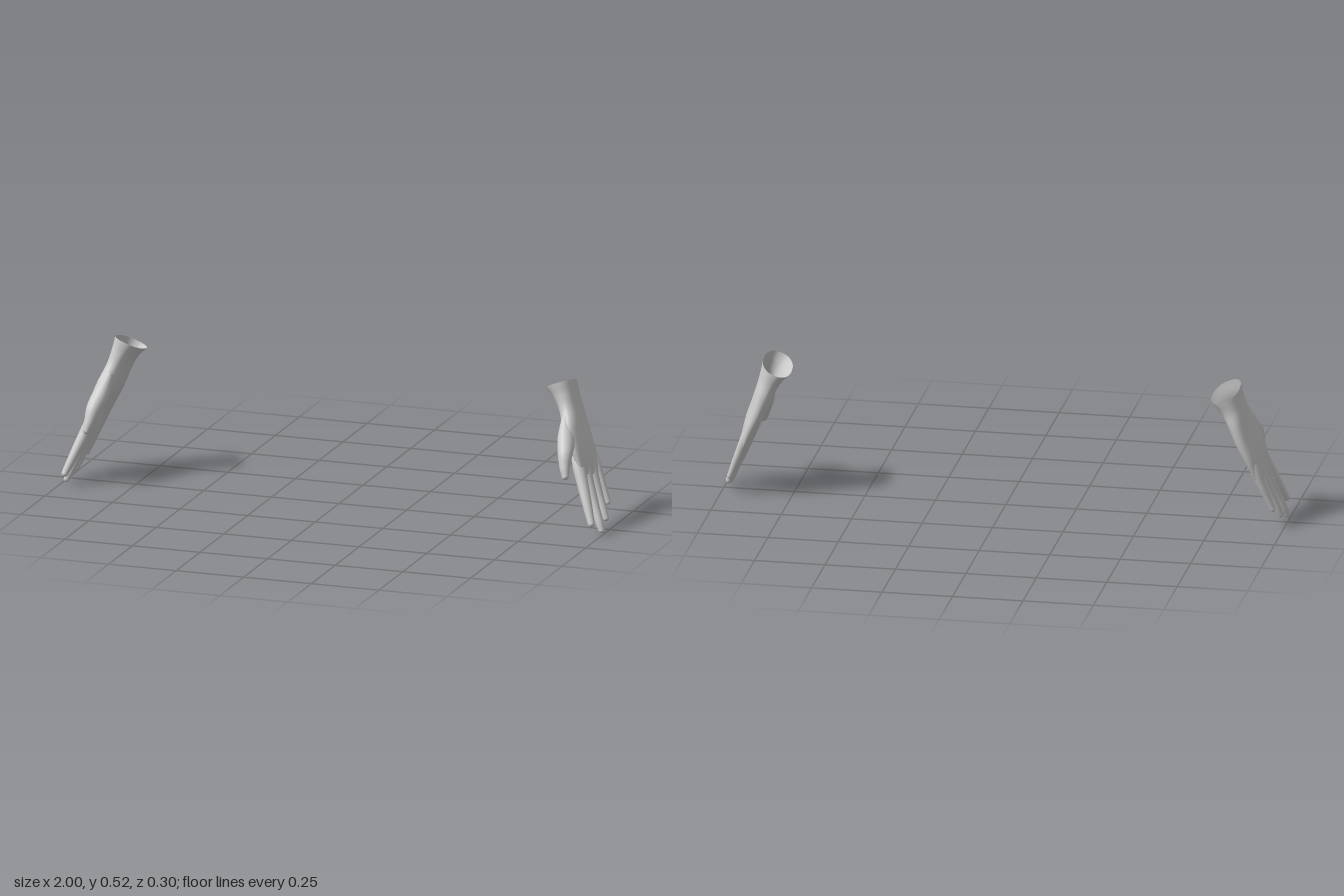
import * as THREE from 'three';
import { mergeVertices } from 'three/addons/utils/BufferGeometryUtils.js';

const material = new THREE.MeshStandardMaterial({ color: 0xcccccc, side: THREE.DoubleSide });

// Direction through the hand, from palm to back
const THICK = new THREE.Vector3(0.93, 0.37, 0).normalize();
// Across the palm, from little finger side to thumb side
const ACROSS = new THREE.Vector3(0, 0.22, 0.97).normalize();

// Smooth skin through stations [x, y, z, halfWidth, halfThickness], open at the
// start and rounded at the end. power < 1 makes the section boxier.
function loft(name, side, stations, { steps = 40, sides = 28, across = null, power = 1 } = {}) {
  const path = new THREE.CatmullRomCurve3(
    stations.map(s => new THREE.Vector3(s[0], s[1], s[2])), false, 'catmullrom', 0.5);
  const size = new THREE.CatmullRomCurve3(
    stations.map(s => new THREE.Vector3(s[3], s[4], 0)), false, 'catmullrom', 0.5);
  const positions = [], index = [];
  const bulge = v => Math.sign(v) * Math.abs(v) ** power;

  const addRing = (centre, tangent, hw, ht) => {
    const w = across || new THREE.Vector3().crossVectors(tangent, THICK).normalize();
    for (let j = 0; j < sides; j++) {
      const a = (j / sides) * Math.PI * 2;
      const p = centre.clone()
        .addScaledVector(w, hw * bulge(Math.cos(a)))
        .addScaledVector(THICK, ht * bulge(Math.sin(a)));
      positions.push(side * p.x, p.y, p.z);
    }
  };

  for (let i = 0; i <= steps; i++) {
    const t = i / steps, s = size.getPoint(t);
    addRing(path.getPoint(t), path.getTangent(t), s.x, s.y);
  }
  // Rounded end
  const end = path.getPoint(1), dir = path.getTangent(1), last = size.getPoint(1);
  const capSteps = 7;
  for (let k = 1; k <= capSteps; k++) {
    const a = (k / capSteps) * Math.PI / 2;
    const shrink = k === capSteps ? 0 : Math.cos(a);
    const inset = across ? last.x - last.y * (1 - shrink) * 1.2 : last.x * shrink;
    addRing(end.clone().addScaledVector(dir, last.y * Math.sin(a)), dir, inset, last.y * shrink);
  }

  const rings = steps + capSteps;
  for (let i = 0; i < rings; i++) {
    for (let j = 0; j < sides; j++) {
      const k = (j + 1) % sides;
      const a = i * sides + j, b = i * sides + k, c = a + sides, d = b + sides;
      if (side > 0) index.push(a, c, b, b, c, d);
      else index.push(a, b, c, b, d, c);
    }
  }
  let geometry = new THREE.BufferGeometry();
  geometry.setAttribute('position', new THREE.Float32BufferAttribute(positions, 3));
  geometry.setIndex(index);
  geometry = mergeVertices(geometry, 1e-5);
  geometry.computeVertexNormals();
  const mesh = new THREE.Mesh(geometry, material);
  mesh.name = name;
  return mesh;
}

// Wrist opening down to the knuckles
const PALM = [
  [0.795, 0.493, -0.074, 0.077, 0.054],
  [0.818, 0.450, -0.071, 0.074, 0.041],
  [0.838, 0.400, -0.066, 0.083, 0.035],
  [0.861, 0.340, -0.043, 0.105, 0.033],
  [0.887, 0.280, -0.036, 0.105, 0.028],
  [0.907, 0.225, -0.031, 0.097, 0.021],
  [0.918, 0.195, -0.029, 0.089, 0.014],
];

const THUMB = [
  [0.846, 0.385, 0.005, 0.030, 0.018],
  [0.860, 0.330, 0.056, 0.036, 0.029],
  [0.872, 0.290, 0.102, 0.027, 0.026],
  [0.879, 0.250, 0.126, 0.019, 0.019],
  [0.886, 0.220, 0.139, 0.013, 0.013],
];

// Fingers lie in the sloping plane of the hand: [y, z, halfWidth, halfThickness]
const FINGERS = {
  indexFinger: [
    [0.290, 0.015, 0.024, 0.014], [0.230, 0.040, 0.027, 0.021], [0.180, 0.061, 0.023, 0.020],
    [0.100, 0.094, 0.018, 0.016], [0.050, 0.116, 0.012, 0.012]],
  middleFinger: [
    [0.280, -0.020, 0.022, 0.016], [0.220, 0.000, 0.026, 0.023], [0.170, 0.012, 0.023, 0.020],
    [0.100, 0.029, 0.018, 0.016], [0.040, 0.045, 0.015, 0.014], [0.012, 0.052, 0.011, 0.011]],
  ringFinger: [
    [0.280, -0.066, 0.022, 0.016], [0.225, -0.056, 0.025, 0.022], [0.170, -0.046, 0.023, 0.019],
    [0.100, -0.033, 0.017, 0.015], [0.060, -0.025, 0.014, 0.013], [0.035, -0.020, 0.011, 0.011]],
  littleFinger: [
    [0.275, -0.113, 0.018, 0.013], [0.225, -0.107, 0.021, 0.018], [0.170, -0.099, 0.019, 0.016],
    [0.115, -0.091, 0.014, 0.013], [0.075, -0.086, 0.010, 0.010]],
};

function buildHand(name, side) {
  const hand = new THREE.Group();
  hand.name = name;
  hand.add(loft('palmAndWrist', side, PALM, { steps: 48, sides: 56, across: ACROSS, power: 0.88 }));
  hand.add(loft('thumb', side, THUMB));
  for (const [finger, stations] of Object.entries(FINGERS)) {
    const points = stations.map(([y, z, hw, ht]) => [0.993 - 0.4 * y, y, z, hw, ht]);
    hand.add(loft(finger, side, points));
  }
  return hand;
}

export function createModel() {
  const model = new THREE.Group();
  model.name = 'hands';
  model.add(buildHand('leftHand', 1), buildHand('rightHand', -1));
  return model;
}
